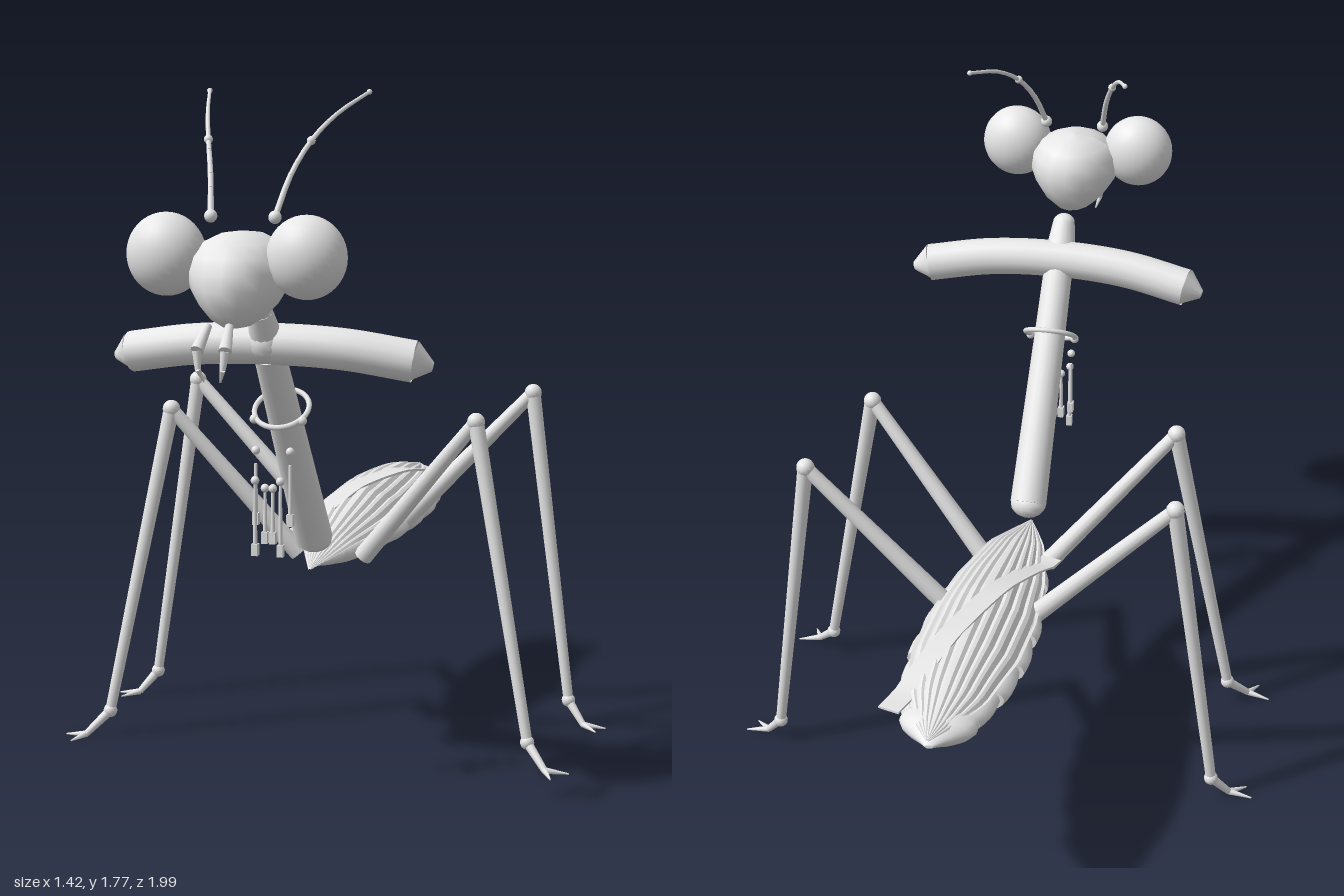
import * as THREE from 'three';

const V = (x, y, z) => new THREE.Vector3(x, y, z);
const grey = new THREE.MeshStandardMaterial({ color: 0xe7e7e7, side: THREE.DoubleSide });
grey.name = 'light grey';

// Piecewise-linear lookup in a short table of [z, value], z falling
function lookup(table, z) {
  for (let i = 1; i < table.length; i++) {
    const [z0, a] = table[i - 1], [z1, b] = table[i];
    if (z >= z1) return THREE.MathUtils.lerp(a, b, THREE.MathUtils.clamp((z - z0) / (z1 - z0), 0, 1));
  }
  return table[table.length - 1][1];
}

export function createModel() {
  const model = new THREE.Group();
  model.name = 'mantis';

  const add = (parent, name, geometry) => {
    const mesh = new THREE.Mesh(geometry, grey);
    mesh.name = name;
    parent.add(mesh);
    return mesh;
  };
  const group = (name) => {
    const g = new THREE.Group();
    g.name = name;
    model.add(g);
    return g;
  };
  // Tapered rod from a to b
  const rod = (parent, name, a, b, ra, rb, sides = 10) => {
    const d = b.clone().sub(a);
    const m = add(parent, name, new THREE.CylinderGeometry(rb, ra, d.length(), sides));
    m.position.copy(a).addScaledVector(d, 0.5);
    m.quaternion.setFromUnitVectors(V(0, 1, 0), d.normalize());
    return m;
  };
  const ball = (parent, name, p, rx, ry = rx, rz = rx, seg = 14) => {
    const m = add(parent, name, new THREE.SphereGeometry(1, seg, Math.ceil(seg * 0.7)));
    m.position.copy(p);
    m.scale.set(rx, ry, rz);
    return m;
  };

  // Head: a sphere narrowing to the chin, squarer from the side
  const headGeo = new THREE.SphereGeometry(1, 16, 9);
  const hp = headGeo.attributes.position;
  for (let i = 0; i < hp.count; i++) {
    const y = hp.getY(i);
    const square = Math.pow(Math.max(0.05, 1 - y * y), -0.12);
    hp.setXYZ(i, hp.getX(i) * (0.12 + 0.032 * y), y * 0.115, hp.getZ(i) * 0.15 * square - y * 0.018);
  }
  headGeo.computeVertexNormals();
  add(model, 'head', headGeo).position.set(0, 1.328, 0.768);

  // Eyes, antennae, mandibles
  for (const s of [1, -1]) {
    const side = s > 0 ? 'left' : 'right';
    ball(model, side + 'Eye', V(s * 0.174, 1.387, 0.797), 0.097, 0.1, 0.083, 28);

    const antenna = group(side + 'Antenna');
    const path = new THREE.CatmullRomCurve3([
      V(s * 0.08, 1.475, 0.745), V(s * 0.1, 1.57, 0.685), V(s * 0.13, 1.65, 0.61),
      V(s * 0.165, 1.71, 0.51), V(s * 0.208, 1.76, 0.365)]).getPoints(12);
    for (let i = 0; i < 12; i++) {
      rod(antenna, 'antennaSegment', path[i], path[i + 1], 0.008 - i * 0.0003, 0.0077 - i * 0.0003, 8);
    }
    ball(antenna, 'antennaBase', path[0], 0.016);
    ball(antenna, 'antennaJoint', path[6], 0.011);
    ball(antenna, 'antennaTip', path[12], 0.007);

    const jaw = group(side + 'Mandible');
    rod(jaw, 'jawBase', V(s * 0.026, 1.235, 0.93), V(s * 0.034, 1.183, 0.987), 0.01, 0.016);
    rod(jaw, 'jawHook', V(s * 0.034, 1.183, 0.989), V(s * 0.03, 1.14, 0.994), 0.011, 0.007);
    rod(jaw, 'jawPoint', V(s * 0.03, 1.14, 0.994), V(s * 0.02, 1.11, 0.98), 0.007, 0.002);
  }

  // Neck and long thorax
  const neckTop = V(0, 1.232, 0.61), neckEnd = V(0, 1.165, 0.565);
  ball(model, 'neckTop', neckTop, 0.031, 0.026, 0.031);
  rod(model, 'neck', neckTop, neckEnd, 0.031, 0.042, 16);
  ball(model, 'neckJoint', V(0, 1.15, 0.56), 0.05);
  const thoraxTop = V(0, 1.12, 0.535), thoraxEnd = V(0, 0.585, 0.15);
  rod(model, 'thorax', thoraxTop, thoraxEnd, 0.04, 0.05, 18);
  ball(model, 'thoraxEnd', thoraxEnd, 0.05, 0.04, 0.045);

  // Collar ring with two studs
  const ring = add(model, 'collarRing', new THREE.TorusGeometry(0.07, 0.007, 8, 36));
  ring.position.set(0, 0.97, 0.434);
  ring.quaternion.setFromUnitVectors(V(0, 0, 1), thoraxTop.clone().sub(thoraxEnd).normalize());
  for (const s of [1, -1]) ball(model, 'collarStud', V(s * 0.063, 0.945, 0.465), 0.012);

  // Curved cross bar with tapered ends
  const bar = group('crossBar');
  const barCurve = new THREE.CatmullRomCurve3([
    V(-0.365, 1.113, 0.52), V(-0.19, 1.14, 0.542), V(0, 1.148, 0.55), V(0.19, 1.14, 0.542), V(0.365, 1.113, 0.52)]);
  add(bar, 'barBody', new THREE.TubeGeometry(barCurve, 24, 0.052, 14));
  for (const s of [1, -1]) {
    rod(bar, 'barEnd', V(s * 0.363, 1.113, 0.52), V(s * 0.41, 1.1, 0.513), 0.0515, 0.012, 14);
  }

  // Small hanging pins in front of the thorax
  const pins = group('hangingPins');
  for (const [x, z, top, bottom] of [[0.045, 0.51, 0.84, 0.7], [0.033, 0.555, 0.8, 0.63], [0.01, 0.545, 0.78, 0.66]]) {
    for (const s of [1, -1]) {
      rod(pins, 'pin', V(s * x, top, z), V(s * x, bottom, z), 0.004, 0.006, 8);
      ball(pins, 'pinHead', V(s * x, top + (x > 0.04 ? 0.033 : 0.005), z), 0.011);
      add(pins, 'pinFoot', new THREE.BoxGeometry(0.016, 0.03, 0.018)).position.set(s * x, bottom, z);
    }
  }

  // Abdomen: overlapping bulging segments
  const width = [[0.14, 0.012], [0.04, 0.055], [-0.06, 0.095], [-0.18, 0.125], [-0.31, 0.143], [-0.45, 0.152],
    [-0.6, 0.152], [-0.74, 0.132], [-0.86, 0.098], [-0.98, 0.01]];
  const axis = [[0.14, 0.51], [-0.1, 0.525], [-0.5, 0.545], [-0.98, 0.572]];
  const abdomen = group('abdomen');
  for (let k = 1; k < width.length; k++) {
    const [z0] = width[k - 1], [z1] = width[k];
    const last = k === width.length - 1;
    const geo = new THREE.CylinderGeometry(1, 1, 1, 24, 5);
    const p = geo.attributes.position;
    for (let i = 0; i < p.count; i++) {
      const t = 0.5 - p.getY(i);
      const z = THREE.MathUtils.lerp(z0, z1, t);
      const bulge = last ? 1 + 0.4 * Math.sin(Math.PI * t) : 0.93 + 0.11 * Math.sin(Math.PI * t * 0.75);
      const w = lookup(width, z) * bulge;
      const h = Math.min(w * 0.5, 0.023 + 0.2 * w);
      p.setXYZ(i, p.getX(i) * w, lookup(axis, z) - p.getZ(i) * h, z);
      if (p.getX(i) === 0 && i >= p.count - 1) p.setX(i, 0);
    }
    geo.scale(-1, 1, 1);
    geo.scale(-1, 1, 1);
    geo.computeVertexNormals();
    add(abdomen, 'abdomenSegment', geo);
  }

  // Pleated wings: arched sheets pointed at both ends, with narrow grooves
  const wingWidth = [[0.19, 0.003], [0.1, 0.04], [0, 0.078], [-0.2, 0.122], [-0.4, 0.142], [-0.6, 0.14],
    [-0.8, 0.105], [-0.92, 0.05], [-0.99, 0.003]];
  const ridge = [[0.19, 0.507], [0.11, 0.53], [0, 0.565], [-0.18, 0.602], [-0.34, 0.63], [-0.6, 0.643],
    [-0.77, 0.635], [-0.99, 0.598]];
  const rim = [[0.19, 0.505], [0, 0.545], [-0.4, 0.566], [-0.7, 0.59], [-0.99, 0.596]];
  const wingY = (u, z) => THREE.MathUtils.lerp(lookup(ridge, z), lookup(rim, z), u * u);
  for (const s of [1, -1]) {
    let geo = new THREE.PlaneGeometry(1, 1, 15, 40);
    const p = geo.attributes.position;
    for (let i = 0; i < p.count; i++) {
      const u = p.getX(i) + 0.5;
      const z = THREE.MathUtils.lerp(-0.99, 0.19, 0.5 - s * p.getY(i) * s);
      const w = lookup(wingWidth, z);
      const groove = Math.round(u * 15) % 3 === 2 ? 0.06 * w : 0;
      p.setXYZ(i, s * u * w, wingY(u, z) - groove, z);
    }
    geo = geo.toNonIndexed();
    geo.computeVertexNormals();
    add(model, s > 0 ? 'leftWing' : 'rightWing', geo);
  }

  // Straight strip lying diagonally over the wings
  const strip = new THREE.BoxGeometry(0.055, 0.006, 1, 1, 1, 20);
  const sp = strip.attributes.position;
  for (let i = 0; i < sp.count; i++) {
    const t = 0.5 - sp.getZ(i);
    const across = sp.getX(i);
    const mid = THREE.MathUtils.lerp(-0.112, 0.124, t);
    const z = -0.065 - 0.825 * t + across * 0.28;
    const u = Math.min(1, Math.abs(mid) / lookup(wingWidth, z));
    sp.setXYZ(i, mid + across, wingY(u, z) + 0.004 + sp.getY(i), z);
  }
  strip.computeVertexNormals();
  add(model, 'wingStrip', strip);

  // Walking legs: hip, knee, ankle, foot joint, two claws
  const legs = [
    ['front', [0.09, 0.505, -0.015], [0.42, 0.9, 0.078], [0.58, 0.07, 0.148], [0.635, 0.011, 0.19],
      [[0.697, 0.003, 0.178], [0.66, 0.003, 0.24]]],
    ['rear', [0.11, 0.53, -0.32], [0.486, 0.922, -0.338], [0.603, 0.07, -0.303], [0.65, 0.011, -0.275],
      [[0.712, 0.003, -0.28], [0.692, 0.003, -0.235]]]];
  for (const s of [1, -1]) {
    for (const [name, ...joints] of legs) {
      const leg = group(name + (s > 0 ? 'LeftLeg' : 'RightLeg'));
      const at = (a) => V(s * a[0], a[1], a[2]);
      const [hip, knee, ankle, foot] = joints.slice(0, 4).map(at);
      rod(leg, 'thigh', hip, knee, 0.026, 0.018, 12);
      ball(leg, 'knee', knee, 0.024);
      rod(leg, 'shin', knee, ankle, 0.021, 0.014, 12);
      ball(leg, 'ankle', ankle, 0.019);
      rod(leg, 'foot', ankle, foot, 0.013, 0.009);
      for (const c of joints[4]) rod(leg, 'claw', foot, at(c), 0.009, 0.002, 8);
    }
  }
  return model;
}
